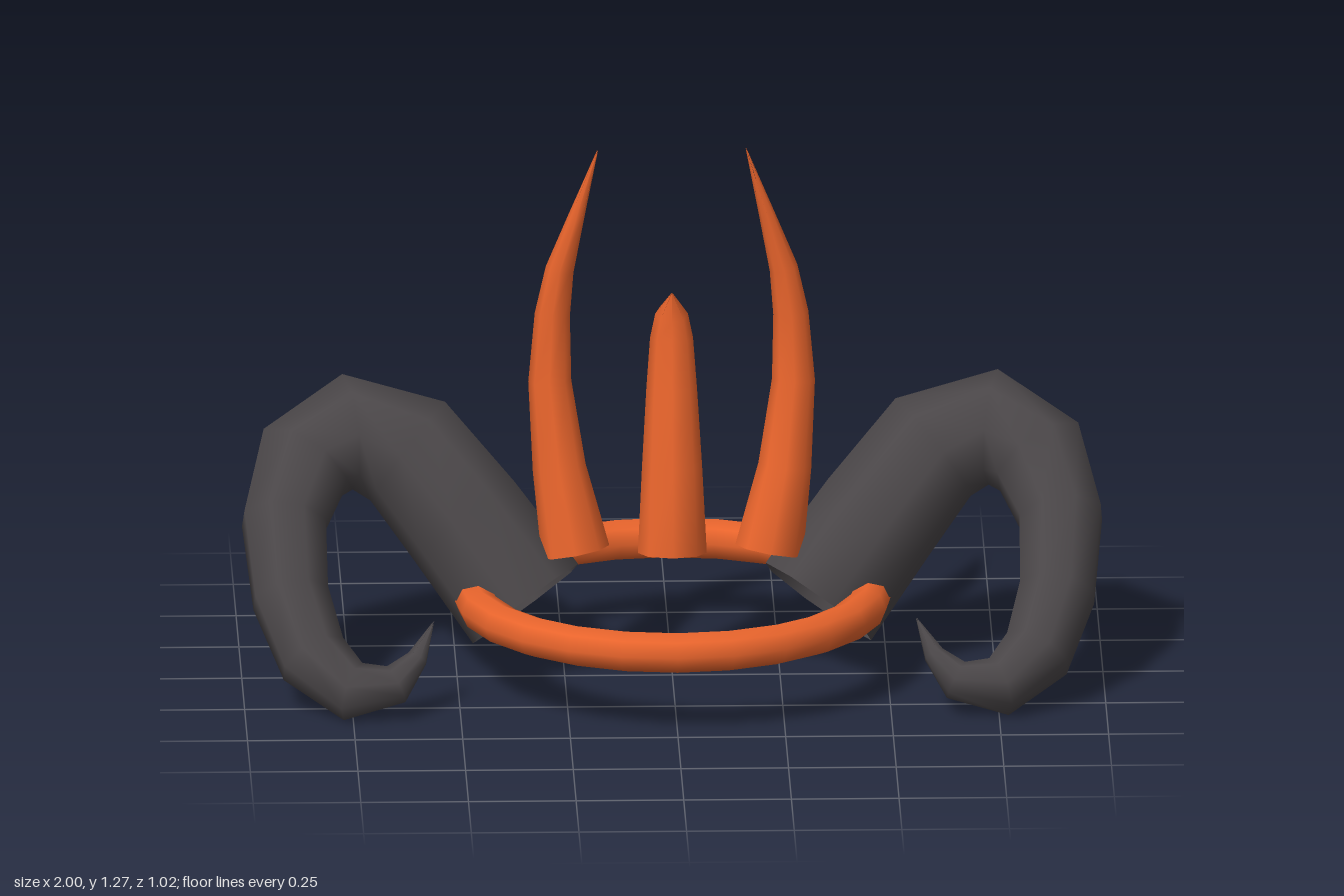
import * as THREE from 'three';

const orange = new THREE.MeshStandardMaterial({ color: 0xe8642c, side: THREE.DoubleSide });
const charcoal = new THREE.MeshStandardMaterial({ color: 0x4a4648, side: THREE.DoubleSide });

// Open-based tapering tube through rows of [x, y, z, radius]; the last row is the tip.
function taperedTube(rows, sides, mirror) {
  const points = rows.map(([x, y, z]) => new THREE.Vector3(x * mirror, y, z));
  const last = points.length - 1;
  const positions = [], indices = [];
  let normal = new THREE.Vector3(0, 0, 1);
  points.forEach((p, i) => {
    const tangent = points[Math.min(i + 1, last)].clone().sub(points[Math.max(i - 1, 0)]).normalize();
    // carry the frame along the path without twisting
    normal = normal.clone().addScaledVector(tangent, -normal.dot(tangent)).normalize();
    const binormal = tangent.clone().cross(normal);
    for (let j = 0; j < sides; j++) {
      const a = (j / sides) * Math.PI * 2;
      const v = p.clone()
        .addScaledVector(normal, Math.cos(a) * rows[i][3])
        .addScaledVector(binormal, Math.sin(a) * rows[i][3]);
      positions.push(v.x, v.y, v.z);
    }
    if (i === last) return;
    for (let j = 0; j < sides; j++) {
      const a = i * sides + j, b = i * sides + (j + 1) % sides;
      indices.push(a, b, b + sides);
      if (i < last - 1) indices.push(a, b + sides, a + sides);
    }
  });
  const geometry = new THREE.BufferGeometry();
  geometry.setAttribute('position', new THREE.Float32BufferAttribute(positions, 3));
  geometry.setIndex(indices);
  geometry.computeVertexNormals();
  return geometry;
}

const hornRows = [
  [0.34, 0.17, -0.03, 0.155],
  [0.48, 0.35, -0.10, 0.15],
  [0.61, 0.50, -0.17, 0.145],
  [0.75, 0.545, -0.18, 0.135],
  [0.855, 0.49, -0.12, 0.122],
  [0.902, 0.38, 0.00, 0.103],
  [0.89, 0.24, 0.14, 0.093],
  [0.84, 0.125, 0.25, 0.085],
  [0.75, 0.068, 0.325, 0.07],
  [0.65, 0.085, 0.325, 0.047],
  [0.60, 0.135, 0.285, 0.025],
  [0.56, 0.21, 0.235, 0.001],
];

const sideSpikeRows = [
  [0.225, 0.305, 0, 0.08],
  [0.262, 0.50, -0.03, 0.062],
  [0.283, 0.70, -0.065, 0.05],
  [0.277, 0.86, -0.069, 0.041],
  [0.26, 0.97, -0.066, 0.033],
  [0.222, 1.10, -0.055, 0.019],
  [0.172, 1.27, -0.035, 0.001],
];

const middleSpikeRows = [
  [0, 0.30, 0, 0.08],
  [0, 0.50, -0.025, 0.07],
  [0, 0.68, -0.06, 0.059],
  [0, 0.80, -0.073, 0.05],
  [0, 0.86, -0.068, 0.038],
  [0, 0.92, -0.035, 0.001],
];

export function createModel() {
  const model = new THREE.Group();
  const add = (name, geometry, material) => {
    const mesh = new THREE.Mesh(geometry, material);
    mesh.name = name;
    model.add(mesh);
    return mesh;
  };

  // Circlet
  const band = add('headband', new THREE.TorusGeometry(0.462, 0.048, 8, 24), orange);
  band.rotation.x = Math.PI / 2;
  band.position.y = 0.197;

  // Curled horns and curved spikes, one of each per side
  for (const [side, mirror] of [['left', 1], ['right', -1]]) {
    add(side + 'Horn', taperedTube(hornRows, 8, mirror), charcoal);
    add(side + 'Spike', taperedTube(sideSpikeRows, 8, mirror), orange);
  }

  // Short spike with its tip curling forward
  add('middleSpike', taperedTube(middleSpikeRows, 8, 1), orange);

  return model;
}
